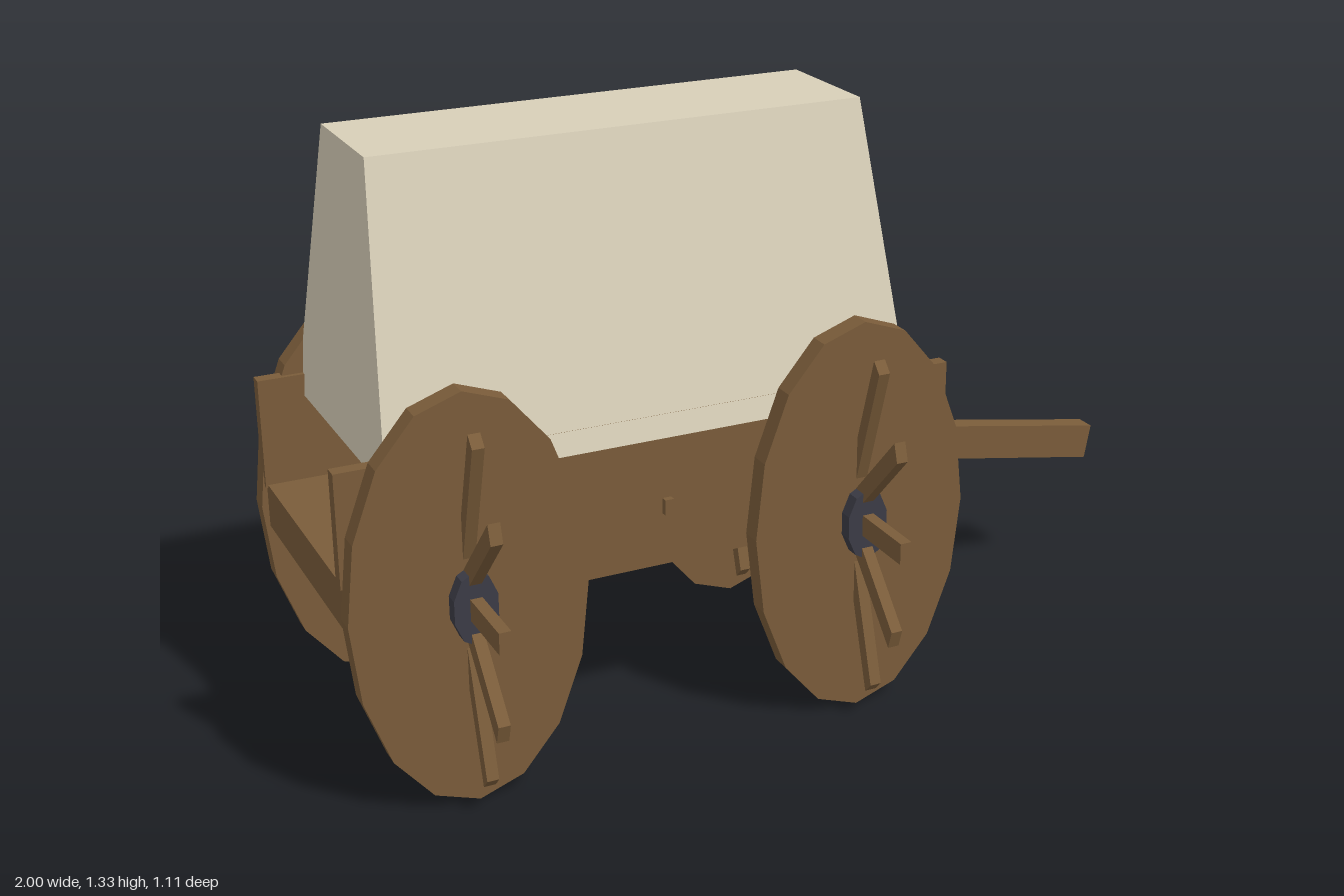
import * as THREE from 'three';

export function createModel() {
  const wagon = new THREE.Group();
  wagon.name = 'coveredWagon';

  const material = (name, color) => {
    const m = new THREE.MeshStandardMaterial({ color, flatShading: true });
    m.name = name;
    return m;
  };
  const wood = material('wood', 0x7a5c3a);
  const canvas = material('canvas', 0xd8cfb8);
  const iron = material('iron', 0x3c3c46);
  const clay = material('clay', 0xb07056);

  const add = (name, geometry, mat, x = 0, y = 0, z = 0, parent = wagon) => {
    const mesh = new THREE.Mesh(geometry, mat);
    mesh.name = name;
    mesh.position.set(x, y, z);
    parent.add(mesh);
    return mesh;
  };
  const box = (w, h, d) => new THREE.BoxGeometry(w, h, d);

  // Bed and side boards
  add('bed', box(1.38, 0.102, 0.575), wood, -0.295, 0.462, 0);
  for (const side of [1, -1]) {
    add('sideBoard', box(1.39, 0.25, 0.031), wood, -0.295, 0.632, side * 0.277);
    add('sidePeg', box(0.02, 0.035, 0.02), wood, -0.28, 0.55, side * 0.297);
  }

  // Cargo barrel under the cover
  const barrel = new THREE.CylinderGeometry(0.069, 0.06, 0.2, 8);
  barrel.rotateY(Math.PI / 8);
  add('barrel', barrel, clay, -0.28, 0.645, 0);

  // Canvas cover: a box narrowed towards its top
  const cover = box(1, 1, 1);
  const p = cover.attributes.position;
  for (let i = 0; i < p.count; i++) {
    const top = p.getY(i) > 0;
    p.setXYZ(i,
      Math.sign(p.getX(i)) * (top ? 0.547 : 0.593),
      top ? 1.335 : 0.708,
      Math.sign(p.getZ(i)) * (top ? 0.144 : 0.305));
  }
  cover.computeVertexNormals();
  add('cover', cover, canvas, -0.297, 0, 0);

  // Wooden hoop at the open end of the cover
  const outer = [[-0.24, 0.83], [-0.217, 0.915], [-0.12, 1.03], [0, 1.07]];
  const inner = [[-0.205, 0.83], [-0.19, 0.89], [-0.103, 1.0], [0, 1.035]];
  const mirror = (pts) => pts.slice(0, 3).reverse().map(([x, y]) => [-x, y]);
  const outline = [...outer, ...mirror(outer), ...[...inner, ...mirror(inner)].reverse()];
  const hoop = new THREE.ExtrudeGeometry(
    new THREE.Shape(outline.map(([x, y]) => new THREE.Vector2(x, y))),
    { depth: 0.03, bevelEnabled: false });
  hoop.rotateY(Math.PI / 2);
  add('coverHoop', hoop, wood, 0.259, 0, 0);

  // Sloping tongue
  const tongue = add('tongue', box(0.635, 0.083, 0.046), wood, 0.681, 0.411, 0);
  tongue.rotation.z = -0.175;

  // Oval wheels with spokes fanning out across the disc
  const disc = new THREE.CylinderGeometry(0.255, 0.255, 0.047, 16);
  disc.rotateX(Math.PI / 2).scale(1, 1.784, 1);
  const hub = new THREE.CylinderGeometry(0.049, 0.049, 0.07, 10);
  hub.rotateX(Math.PI / 2).scale(1, 1.68, 1);
  const spoke = box(0.026, 0.026, 0.474);
  for (const x of [-0.745, 0.15]) {
    for (const side of [1, -1]) {
      const wheel = new THREE.Group();
      wheel.name = 'wheel';
      wheel.position.set(x, 0.458, side * 0.318);
      wagon.add(wheel);
      add('wheelDisc', disc, wood, 0, 0, 0.0225, wheel);
      add('hub', hub, iron, 0, 0, 0.042, wheel);
      const spokes = new THREE.Group();
      spokes.name = 'spokes';
      spokes.scale.y = 1.84;
      wheel.add(spokes);
      for (let i = 0; i < 6; i++) {
        add('spoke', spoke, wood, 0, 0, 0, spokes).rotation.x = i * Math.PI / 6;
      }
    }
  }
  return wagon;
}
